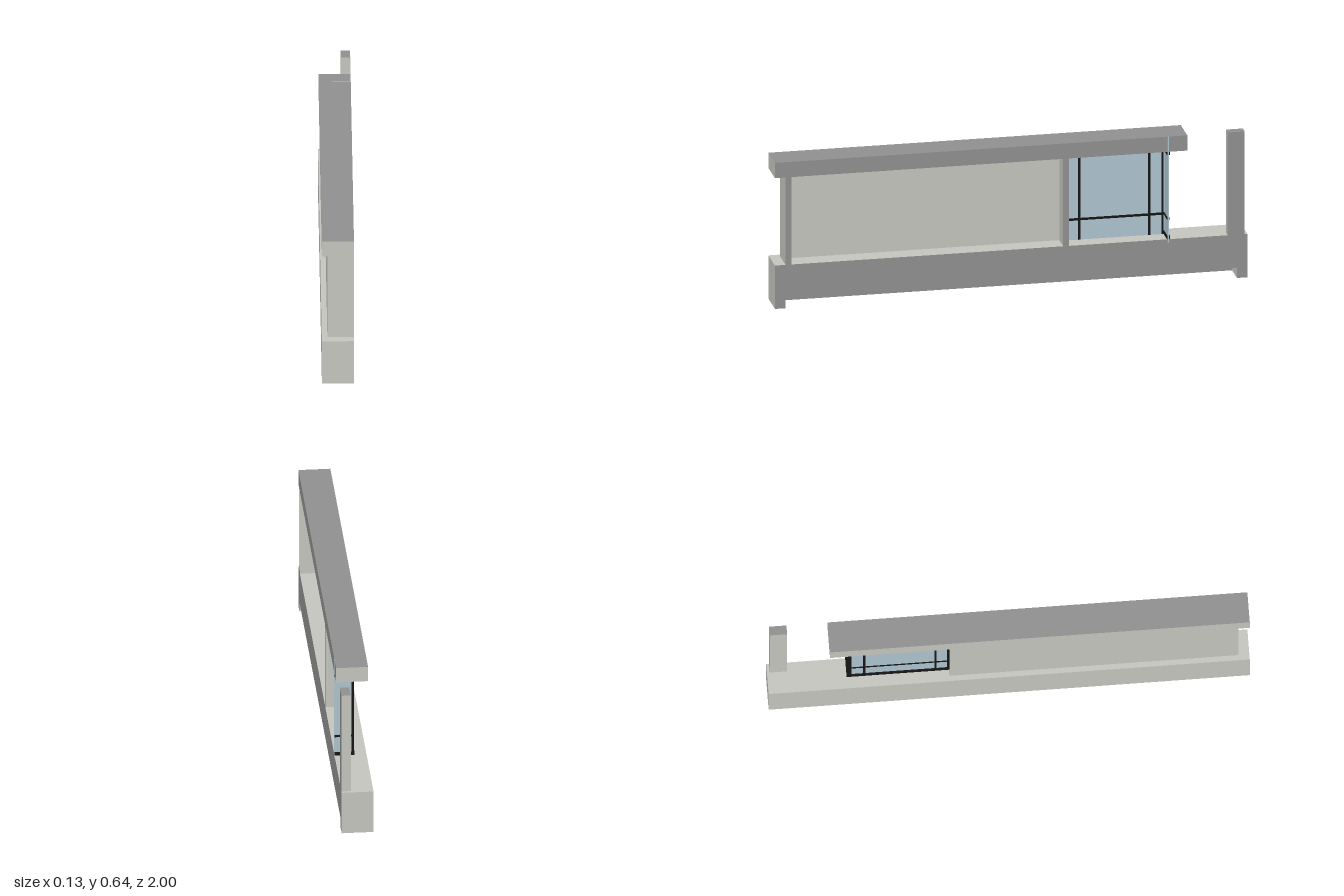
import * as THREE from 'three';

const mat = (name, color) => {
  const m = new THREE.MeshStandardMaterial({ color });
  m.name = name;
  return m;
};

export function createModel() {
  const light = mat('light concrete', 0xc4c4be);
  const dark = mat('dark grey facing', 0x8f8f8f);
  const glass = mat('pale blue glass', 0xadc3cd);
  const black = mat('black frame', 0x151515);

  const model = new THREE.Group();
  model.name = 'railingWall';

  // Box from its min and max limits on each axis
  const box = (parent, name, [x0, x1], [y0, y1], [z0, z1], material) => {
    const mesh = new THREE.Mesh(new THREE.BoxGeometry(x1 - x0, y1 - y0, z1 - z0), material);
    mesh.position.set((x0 + x1) / 2, (y0 + y1) / 2, (z0 + z1) / 2);
    mesh.name = name;
    parent.add(mesh);
    return mesh;
  };
  const group = (name) => {
    const g = new THREE.Group();
    g.name = name;
    model.add(g);
    return g;
  };

  // Face order: +x, -x, +y, -y, +z, -z
  const darkSide = [dark, light, light, light, light, light];
  const darkSideAndTop = [dark, light, dark, light, light, light];
  const darkSideAndBottom = [dark, light, light, dark, light, light];

  const X0 = -0.068, X1 = 0.065;       // full width
  const BASE = 0.19, BEAM = 0.573, TOP = 0.64, NOTCH = 0.045;

  // Base with a long notch along the underside, open towards +x
  const base = group('base');
  box(base, 'baseBody', [X0, X1], [NOTCH, BASE], [-1, 1], darkSideAndBottom);
  box(base, 'baseFlange', [X0, -0.035], [0, NOTCH], [-0.955, 0.955], darkSide);
  for (const s of [-1, 1]) {
    const z = s > 0 ? [0.955, 1] : [-1, -0.955];
    box(base, 'baseFoot', [X0, X1], [0, NOTCH], z, darkSide);
  }

  // Top beam, its two supports, the recessed wall and the free post
  box(model, 'topBeam', [X0, X1], [BEAM, TOP], [-0.745, 1], darkSideAndTop);
  box(model, 'frontColumn', [-0.045, X1], [BASE, BEAM], [0.93, 0.955], darkSide);
  box(model, 'middleColumn', [-0.045, X1], [BASE, BEAM], [-0.245, -0.22], darkSide);
  box(model, 'wallPanel', [-0.045, -0.015], [BASE, BEAM], [-0.22, 0.93], light);
  box(model, 'rearPost', [0.026, X1], [BASE, TOP], [-0.988, -0.916], darkSideAndTop);

  // Glazing: a long pane and a short return at its rear end
  const glazing = group('glazing');
  const paneX = [-0.011, -0.005], paneZ = [-0.668, -0.662];
  box(glazing, 'longPane', paneX, [BASE, BEAM], [-0.665, -0.245], glass);
  box(glazing, 'returnPane', [-0.011, 0.0665], [0.175, TOP], paneZ, glass);

  // Upright bars and cross bar, showing on both faces of the long pane
  const barX = [-0.013, -0.003];
  for (const [z, w] of [[-0.249, 0.01], [-0.302, 0.009], [-0.598, 0.009], [-0.655, 0.008]])
    box(glazing, 'uprightBar', barX, [BASE, BEAM], [z - w / 2, z + w / 2], black);
  box(glazing, 'crossBar', barX, [0.275, 0.285], [-0.665, -0.245], black);
  box(glazing, 'returnCrossBar', [-0.013, X1], [0.275, 0.285], [-0.67, -0.66], black);
  box(glazing, 'cornerPost', [-0.016, -0.0055], [BASE, BEAM], [-0.672, -0.66], black);

  // Rails along the foot and head of both panes
  for (const y of [[BASE, 0.204], [0.559, BEAM]]) {
    box(glazing, 'outerRail', [-0.018, -0.008], y, [-0.672, -0.245], black);
    box(glazing, 'returnRail', [-0.018, X1], y, [-0.672, -0.659], black);
  }
  return model;
}
